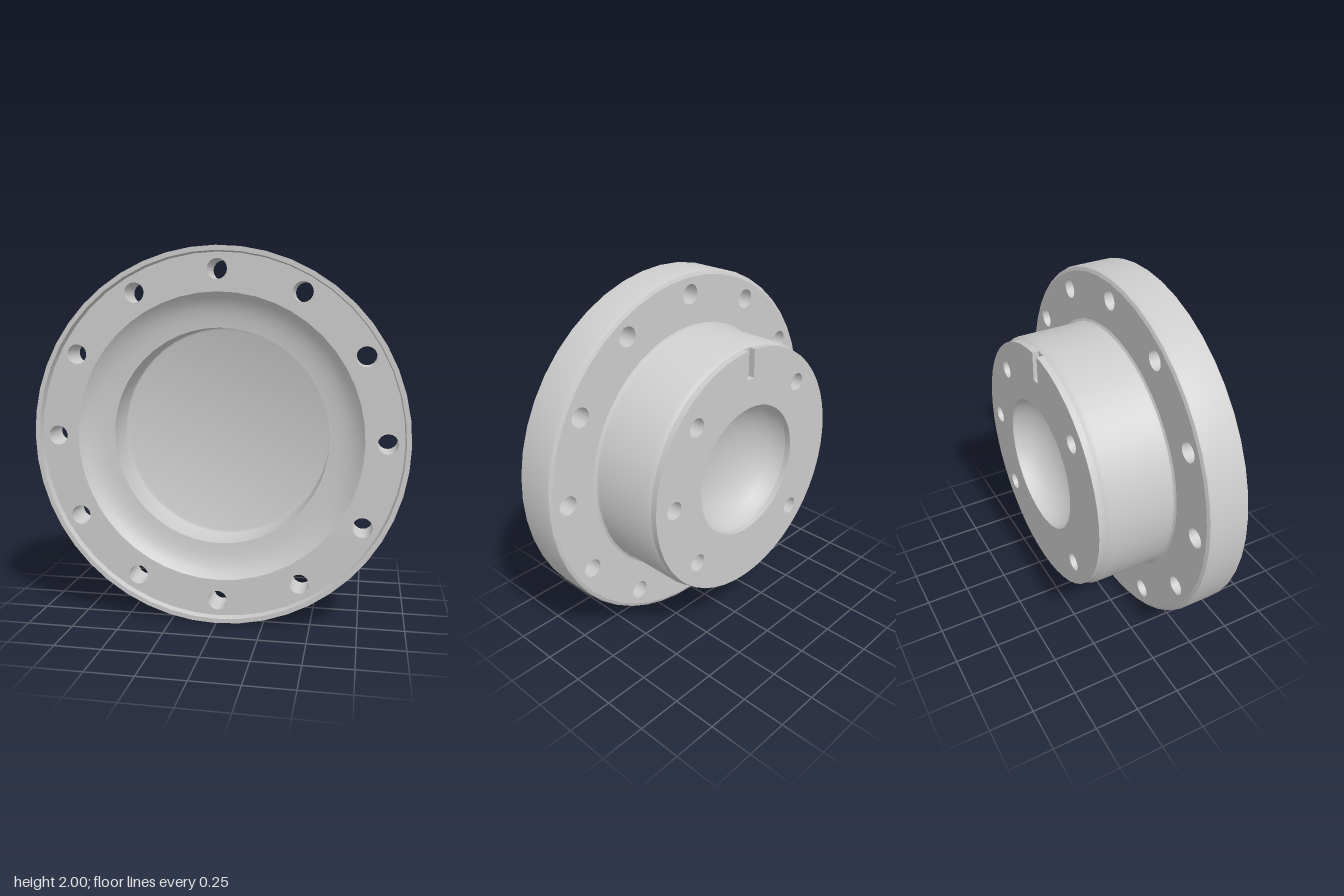
import * as THREE from 'three';
import { toCreasedNormals } from 'three/addons/utils/BufferGeometryUtils.js';

const SEG = 48;
const material = new THREE.MeshStandardMaterial({ color: 0xcccccc, side: THREE.DoubleSide });

// Circle points, aligned with the lathe segments
function circle(r, n = SEG, x = 0, y = 0) {
  return Array.from({ length: n }, (_, i) => {
    const a = (i / n) * Math.PI * 2;
    return new THREE.Vector2(x + r * Math.cos(a), y + r * Math.sin(a));
  });
}

// Revolve a [radius, z] profile around the z axis
function revolve(profile) {
  const g = new THREE.LatheGeometry(profile.map(([r, z]) => new THREE.Vector2(r, z)), SEG);
  g.rotateX(Math.PI / 2);
  return toCreasedNormals(g, 0.6);
}

// Bolt positions on a circle, angles in degrees
function boltCircle(r, degrees) {
  return degrees.map(d => {
    const a = THREE.MathUtils.degToRad(d);
    return [r * Math.cos(a), r * Math.sin(a)];
  });
}

export function createModel() {
  const group = new THREE.Group();
  const body = new THREE.Group();
  body.name = 'flangedHub';
  body.position.y = 1;
  group.add(body);

  const add = (name, geometry, z = 0, x = 0, y = 0) => {
    const mesh = new THREE.Mesh(geometry, material);
    mesh.name = name;
    mesh.position.set(x, y, z);
    body.add(mesh);
    return mesh;
  };
  const bore = (name, r, x, y, z0, z1, blind) => {
    const g = new THREE.CylinderGeometry(r, r, z1 - z0, 16, 1, true).rotateX(Math.PI / 2);
    add(name, g, (z0 + z1) / 2, x, y);
    if (blind) add(name + 'End', new THREE.CircleGeometry(r, 16).rotateY(Math.PI), z1, x, y);
  };

  const faceZ = 0.28, backZ = 0.1, hubZ = -0.32, slotZ = -0.285;
  const boltR = 0.053;
  const bolts = boltCircle(0.885, Array.from({ length: 12 }, (_, i) => i * 30));

  // Hub side with its chamfer and the fillet into the flange
  add('hubSide', revolve([[0.685, slotZ], [0.7, -0.26], [0.7, 0.08], [0.705, 0.093], [0.718, backZ]]));

  // Flange rim with a raised front lip
  add('flangeRim', revolve([[0.975, backZ], [0.993, 0.108], [1, 0.125], [1, 0.32], [0.975, 0.32], [0.97, faceZ]]));

  // Front dish, socket wall and floor
  add('frontSocket', revolve([
    [0.77, faceZ], [0.74, 0.25], [0.69, 0.227], [0.64, 0.215], [0.585, 0.21],
    [0.585, 0.02], [0.58, 0.006], [0.565, 0], [0, 0],
  ]));

  // Drilled flange faces
  const ring = (outer, inner) => {
    const s = new THREE.Shape(circle(outer));
    s.holes.push(new THREE.Path(circle(inner)));
    for (const [x, y] of bolts) s.holes.push(new THREE.Path(circle(boltR, 16, x, y)));
    return new THREE.ShapeGeometry(s);
  };
  add('flangeFrontFace', ring(0.97, 0.77), faceZ);
  add('flangeBackFace', ring(0.975, 0.718).rotateY(Math.PI), backZ);
  for (const [x, y] of bolts) bore('flangeBoltHole', boltR, x, y, backZ, faceZ, false);

  // Rear plate of the hub, slotted at the top and drilled
  const w = 0.025, top = Math.sqrt(0.685 ** 2 - w * w);
  const outline = circle(0.685);
  outline.splice(SEG / 4, 1,
    new THREE.Vector2(w, top), new THREE.Vector2(w, 0.53),
    new THREE.Vector2(-w, 0.53), new THREE.Vector2(-w, top));
  const plate = new THREE.Shape(outline);
  plate.holes.push(new THREE.Path(circle(0.37)));
  const rearBolts = boltCircle(0.56, [0, 45, 135, 225, 315]);
  for (const [x, y] of rearBolts) plate.holes.push(new THREE.Path(circle(0.05, 16, x, y)));
  const plateGeometry = new THREE.ExtrudeGeometry(plate, { depth: slotZ - hubZ, bevelEnabled: false });
  add('hubRearPlate', toCreasedNormals(plateGeometry, 0.6), hubZ);
  add('slotFloor', new THREE.PlaneGeometry(2 * w, 0.155).rotateY(Math.PI), slotZ, 0, 0.6075);
  for (const [x, y] of rearBolts) bore('hubBoltHole', 0.05, x, y, slotZ, -0.15, true);

  // Rounded recess in the back
  add('rearBowl', revolve([
    [0, -0.1], [0.1, -0.105], [0.19, -0.122], [0.27, -0.155], [0.33, -0.205], [0.36, -0.25], [0.37, slotZ],
  ]));

  return group;
}
